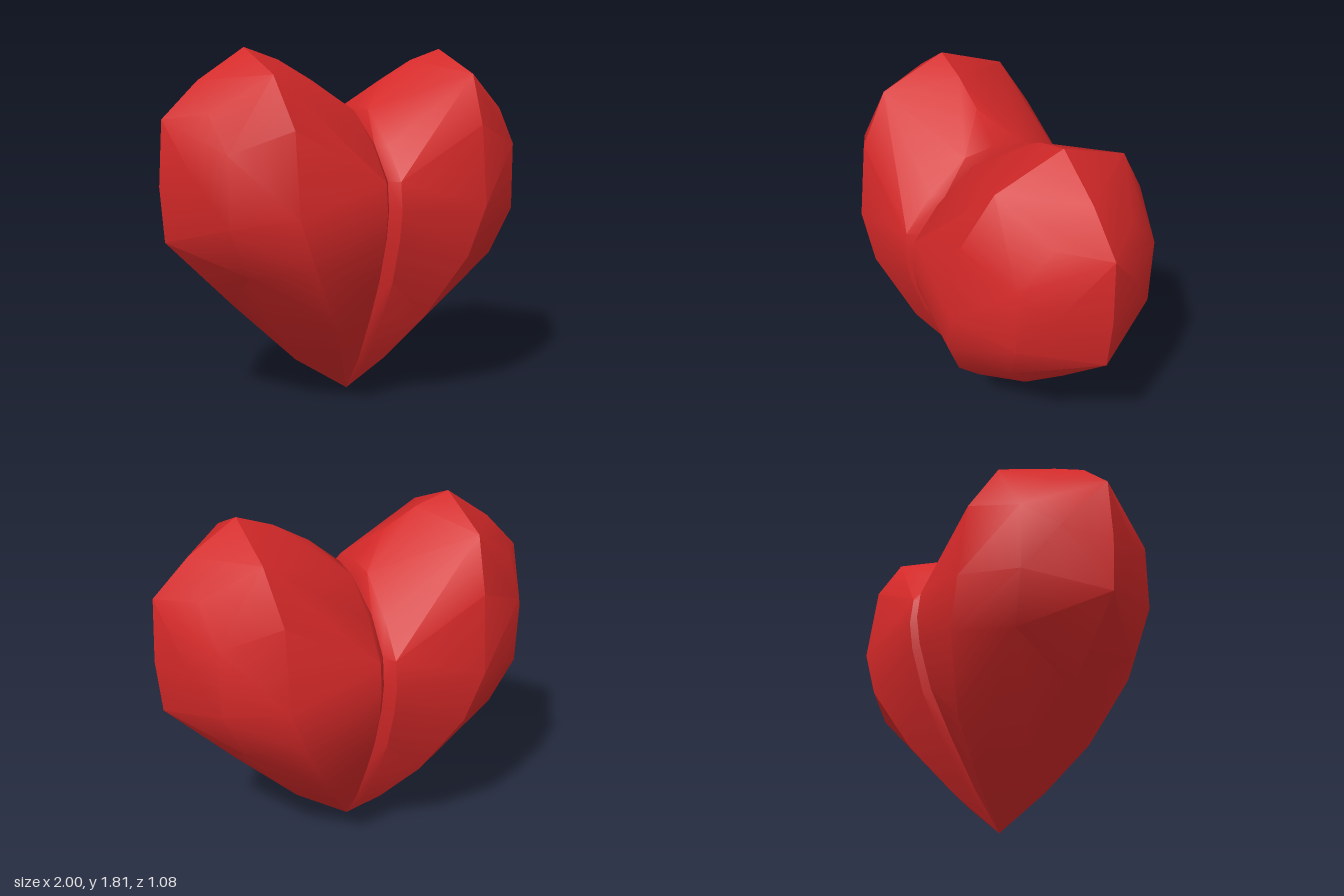
import * as THREE from 'three';
import { ConvexGeometry } from 'three/addons/geometries/ConvexGeometry.js';
import { toCreasedNormals } from 'three/addons/utils/BufferGeometryUtils.js';

// Outline of the left half in the middle plane (x, y)
const RIM = [
  [0, 0], [0.3, 0.2], [0.64, 0.53], [0.98, 0.88], [1, 1.15], [0.98, 1.47], [0.8, 1.65],
  [0.56, 1.81], [0.38, 1.75], [0.2, 1.65], [0.04, 1.52], [0, 1.43],
];

// Edge of the centre groove (y, z), bevelled inwards to the seam
const GROOVE = [
  [0.2, 0.16], [0.445, 0.31], [0.66, 0.42], [0.887, 0.49], [1.03, 0.51], [1.17, 0.495], [1.34, 0.36], [1.5, 0.16],
];

// Facet corners on the bulging face (x, y, z)
const FACE = [
  [0.55, 1.68, 0.34], [0.51, 1.43, 0.49], [0.51, 1.03, 0.54], [0.42, 0.78, 0.52],
  [0.25, 0.45, 0.38], [0.12, 0.2, 0.19], [0.79, 1.32, 0.37], [0.79, 0.98, 0.37],
  [0.68, 0.74, 0.33], [0.9, 1.2, 0.22], [0.82, 1.5, 0.2],
];

function halfHeart(side) {
  const points = RIM.map(([x, y]) => new THREE.Vector3(side * x, y, 0));
  for (const front of [1, -1]) {
    const add = (x, y, z) => points.push(new THREE.Vector3(side * x, y, front * z));
    FACE.forEach((p) => add(...p));
    for (const [y, z] of GROOVE) {
      add(0.04, y, z);
      add(0, y > 1.4 ? y - 0.08 : y, z - 0.06 * Math.min(1, y / 0.6));
    }
  }
  const geometry = new ConvexGeometry(points);
  return toCreasedNormals(geometry, THREE.MathUtils.degToRad(32));
}

export function createModel() {
  const group = new THREE.Group();
  group.name = 'heart';
  const red = new THREE.MeshStandardMaterial({ color: 0xd32828 });
  red.name = 'heartRed';

  // Two mirrored halves meeting at the groove
  for (const [name, side] of [['leftHalf', 1], ['rightHalf', -1]]) {
    const mesh = new THREE.Mesh(halfHeart(side), red);
    mesh.name = name;
    group.add(mesh);
  }
  return group;
}
